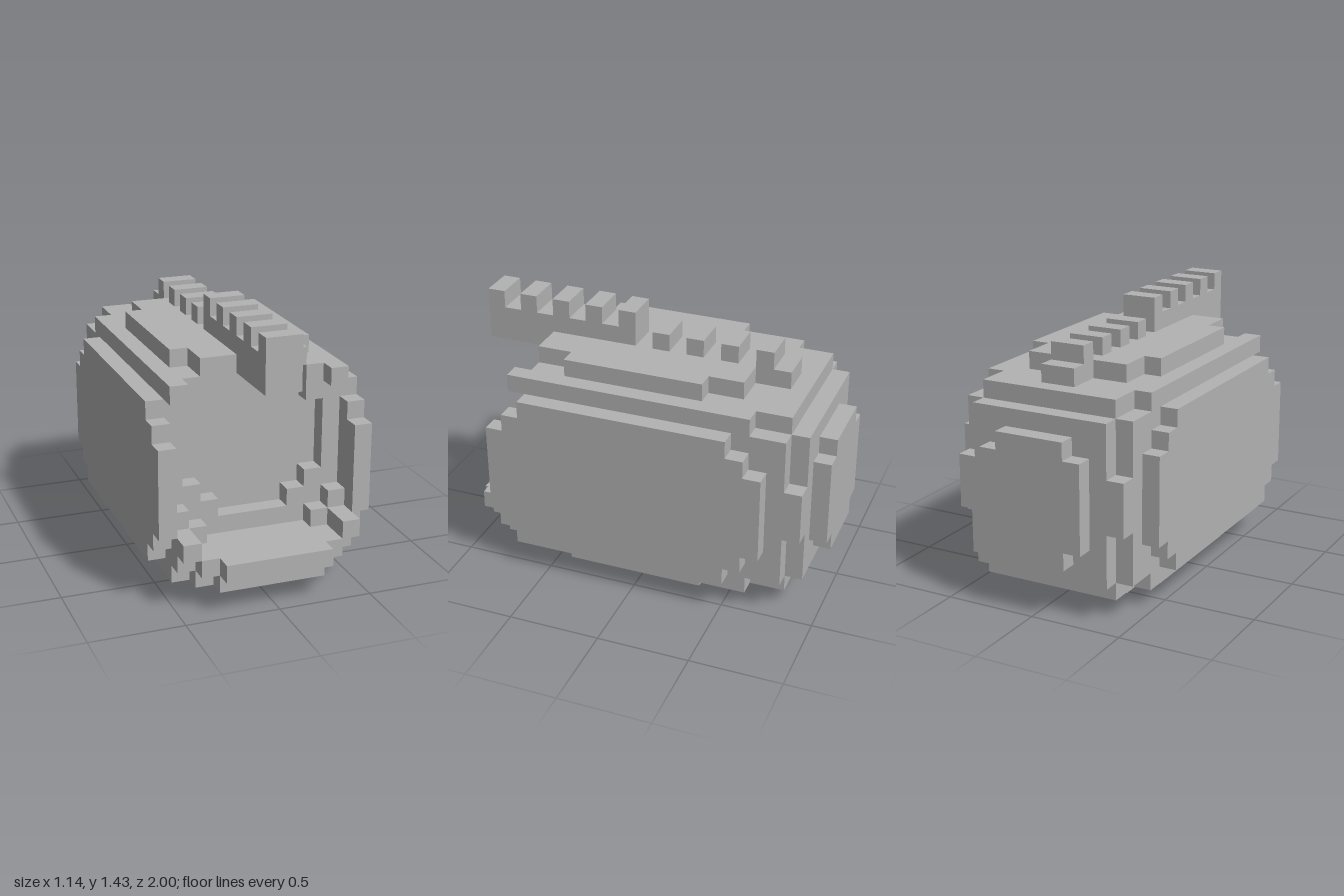
import * as THREE from 'three';

const U = 2 / 21; // size of one block

export function createModel() {
  const model = new THREE.Group();
  model.name = 'blockHelmet';
  const steel = new THREE.MeshStandardMaterial({ color: 0xb3b3b3 });
  steel.name = 'steelGrey';

  // Box given by its block bounds; z counts blocks from the back
  const block = (parent, name, x0, x1, y0, y1, z0, z1) => {
    const mesh = new THREE.Mesh(
      new THREE.BoxGeometry((x1 - x0) * U, (y1 - y0) * U, (z1 - z0) * U), steel);
    mesh.position.set((x0 + x1) / 2 * U, (y0 + y1) / 2 * U, ((z0 + z1) / 2 - 10.5) * U);
    mesh.name = name;
    parent.add(mesh);
  };
  const part = (name) => {
    const g = new THREE.Group();
    g.name = name;
    model.add(g);
    return g;
  };
  // Rows of centred boxes: [half width, y0, y1, z0, z1]
  const centred = (name, rows) => {
    const g = part(name);
    rows.forEach(([h, ...b]) => block(g, name, -h, h, ...b));
  };
  // Mirrored pairs: [x0, x1, y0, y1, z0, z1]
  const mirrored = (name, rows) => {
    const g = part(name);
    rows.forEach(([a, b, ...r]) => {
      block(g, name + 'Left', a, b, ...r);
      block(g, name + 'Right', -b, -a, ...r);
    });
  };

  // Body with stepped edges
  centred('shell', [
    [5, 2, 11, 2, 16],
    [4, 11, 12, 2, 16], [5, 11, 12, 4, 16],
    [4, 1, 2, 2, 19], [5, 1, 2, 4, 18],
    [4, 2, 11, 1, 2], [5, 5, 8, 1, 2],
  ]);

  // Stepped plates on the back, top and bottom
  centred('backPlate', [[3, 4, 9, 0, 1], [2, 3, 10, 0, 1]]);
  centred('topPlate', [[4, 12, 13, 7, 15], [3, 12, 13, 5, 17], [1, 12, 13, 3, 5]]);
  centred('bottomPlate', [[4, 0, 1, 7, 15], [3, 0, 1, 5, 17], [1, 0, 1, 4, 18]]);

  // Side plates with stepped corners
  mirrored('sidePlate', [
    [5, 6, 4, 9, 3, 19],
    [5, 6, 3, 10, 4, 18],
    [5, 6, 2, 11, 5, 17],
  ]);

  // Frame around the face opening
  mirrored('faceFrame', [
    [4, 5, 3, 12, 16, 17],
    [3, 4, 10, 12, 16, 17],
    [3, 4, 4, 6, 16, 17],
    [2, 3, 4, 5, 16, 17],
    [4, 5, 11, 12, 17, 18],
    [4, 5, 4, 5, 17, 18],
    [3, 4, 3, 4, 16, 18],
    [4, 5, 3, 4, 17, 20],
  ]);

  // Chin guard and lip
  centred('chinGuard', [
    [5, 2, 3, 16, 19],
    [4, 2, 3, 19, 20],
    [3, 2, 3, 20, 21],
    [3, 1, 2, 19, 20],
    [3, 3, 4, 16, 17],
  ]);

  // Toothed crest: raised bar in front, low teeth behind
  centred('crestBar', [[1, 12, 14, 12, 21]]);
  const teeth = part('crestTeeth');
  for (let z = 4; z <= 20; z += 2) {
    const y = z < 12 ? 13 : 14;
    block(teeth, 'crestTooth', -1, 1, y, y + 1, z, z + 1);
  }
  return model;
}
